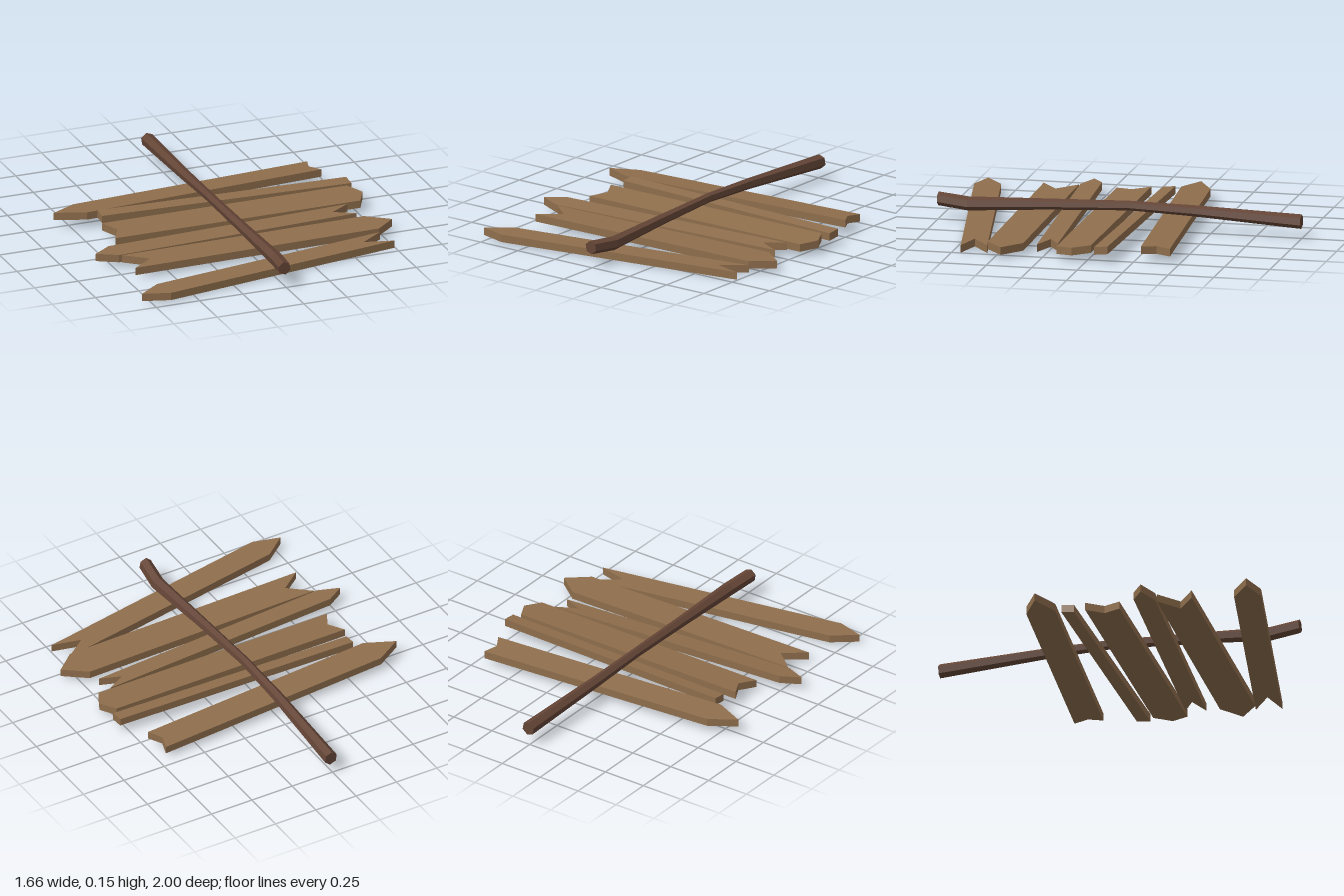
import * as THREE from 'three';

const THICKNESS = 0.042;

// Plank from its outline [x, z]; its top lies on y = h + sx * x + sz * z
function plank(name, material, outline, [h, sx, sz]) {
  const shape = new THREE.Shape(outline.map(([x, z]) => new THREE.Vector2(x, -z)));
  const geo = new THREE.ExtrudeGeometry(shape, { depth: THICKNESS, bevelEnabled: false });
  geo.rotateX(-Math.PI / 2);
  const p = geo.attributes.position;
  for (let i = 0; i < p.count; i++) {
    p.setY(i, p.getY(i) - THICKNESS + h + sx * p.getX(i) + sz * p.getZ(i));
  }
  geo.computeVertexNormals();
  const mesh = new THREE.Mesh(geo, material);
  mesh.name = name;
  return mesh;
}

// Crooked six-sided post lofted through rings [x, y, z, radius]
function post(material, rings) {
  const sides = 6;
  const corner = (ring, i) => {
    const a = THREE.MathUtils.degToRad(100) + (i / sides) * Math.PI * 2;
    return [ring[0] + Math.cos(a) * ring[3], ring[1] + Math.sin(a) * ring[3], ring[2]];
  };
  const pos = [];
  const first = rings[0], last = rings[rings.length - 1];
  for (let i = 0; i < sides; i++) {
    for (let r = 0; r < rings.length - 1; r++) {
      const a = corner(rings[r], i), b = corner(rings[r], i + 1);
      const c = corner(rings[r + 1], i + 1), d = corner(rings[r + 1], i);
      pos.push(...a, ...c, ...b, ...a, ...d, ...c);
    }
    // End caps
    pos.push(...first.slice(0, 3), ...corner(first, i), ...corner(first, i + 1));
    pos.push(...last.slice(0, 3), ...corner(last, i + 1), ...corner(last, i));
  }
  const geo = new THREE.BufferGeometry();
  geo.setAttribute('position', new THREE.Float32BufferAttribute(pos, 3));
  geo.computeVertexNormals();
  const mesh = new THREE.Mesh(geo, material);
  mesh.name = 'post';
  return mesh;
}

export function createModel() {
  const group = new THREE.Group();
  group.name = 'signpost';
  const plankWood = new THREE.MeshStandardMaterial({ color: 0x8f6e4c, flatShading: true });
  plankWood.name = 'plank wood';
  const postWood = new THREE.MeshStandardMaterial({ color: 0x644536, flatShading: true });
  postWood.name = 'post wood';

  // Rings run from the front end (+z) to the back end (-z)
  group.add(post(postWood, [
    [-0.01, 0.112, 1, 0.037],
    [0.012, 0.098, 0.83, 0.038],
    [-0.003, 0.114, 0.4, 0.03],
    [-0.015, 0.127, -0.05, 0.026],
    [-0.012, 0.118, -0.4, 0.03],
    [0.01, 0.095, -1, 0.039],
  ]));

  // Sign boards: name, outline, plane of the top face
  const boards = [
    ['topArrowBoard',
      [[-0.835, -0.25], [-0.69, -0.335], [0.705, -0.44], [0.68, -0.36], [0.725, -0.285], [-0.67, -0.18]],
      [0.1, 0, 0.06]],
    ['plainBoard',
      [[-0.62, -0.16], [0.8, -0.12], [0.8, -0.045], [-0.62, -0.09]],
      [0.083, -0.005, -0.1]],
    ['bluntArrowBoard',
      [[-0.65, -0.02], [0.765, -0.02], [0.815, 0.075], [0.765, 0.17], [-0.65, 0.17], [-0.6, 0.075]],
      [0.083, 0, -0.08]],
    ['narrowArrowBoard',
      [[-0.83, 0.335], [-0.73, 0.27], [0.685, 0.18], [0.575, 0.245], [0.69, 0.295], [-0.715, 0.385]],
      [0.09, -0.012, -0.09]],
    ['wideArrowBoard',
      [[-0.7, 0.39], [0.705, 0.365], [0.83, 0.46], [0.715, 0.558], [-0.7, 0.583], [-0.58, 0.49]],
      [0.063, 0, 0]],
    ['bottomArrowBoard',
      [[-0.797, 0.91], [-0.67, 0.81], [0.72, 0.56], [0.585, 0.66], [0.745, 0.7], [-0.645, 0.953]],
      [0.047, -0.006, 0]],
  ];
  for (const [name, outline, plane] of boards) {
    group.add(plank(name, plankWood, outline, plane));
  }
  return group;
}
